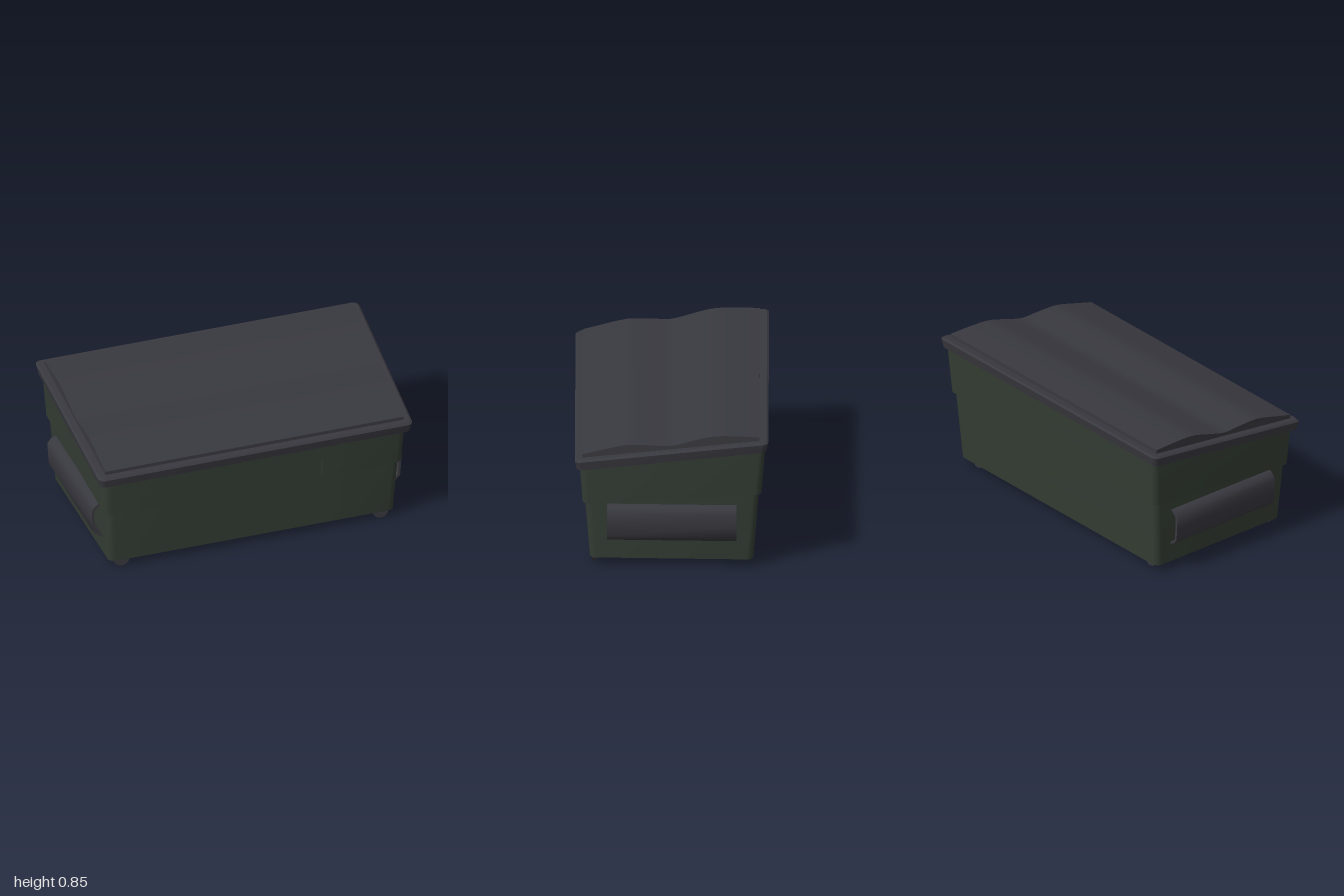
import * as THREE from 'three';
import { toCreasedNormals } from 'three/addons/utils/BufferGeometryUtils.js';

const green = new THREE.MeshStandardMaterial({ color: 0x343d34, side: THREE.DoubleSide });
green.name = 'dark green paint';
const grey = new THREE.MeshStandardMaterial({ color: 0x38383f, side: THREE.DoubleSide });
grey.name = 'charcoal plastic';

const TAPER = 0.03; // the sides spread a little towards the back
const NOTCH = 0.42; // half width of the raised front panel

// Columns of a rounded rectangle, going right around from +x through the front.
function makeColumns() {
  const columns = [];
  const corner = (sx, sz, start) => {
    for (let i = 0; i <= 4; i++) {
      const a = start + (i / 4) * Math.PI / 2;
      columns.push({ sx, sz, cos: Math.cos(a), sin: Math.sin(a) });
    }
  };
  corner(1, 1, 0);
  for (const [x, high] of [[NOTCH, false], [NOTCH, true], [-NOTCH, true], [-NOTCH, false]]) {
    columns.push({ x, high, sz: 1, sin: 1 });
  }
  corner(-1, 1, Math.PI / 2);
  corner(-1, -1, Math.PI);
  corner(1, -1, Math.PI * 1.5);
  return columns;
}
const columns = makeColumns();

// One point of a rounded rectangle: hx is the half width at the back, hz the half depth.
function outline(c, hx, hz, r, y) {
  const z = c.sz * (hz - r) + r * c.sin;
  const half = hx - TAPER * (z + hz) / (2 * hz);
  const x = c.x !== undefined ? c.x : c.sx * (half - r) + r * c.cos;
  return [x, y, z];
}

// Skin between successive rings of points.
function loft(rings) {
  const n = columns.length;
  const index = [];
  for (let i = 0; i < rings.length - 1; i++) {
    for (let k = 0; k < n; k++) {
      const a = i * n + k, b = i * n + (k + 1) % n;
      index.push(a, a + n, b, b, a + n, b + n);
    }
  }
  const g = new THREE.BufferGeometry();
  g.setAttribute('position', new THREE.Float32BufferAttribute(rings.flat(2), 3));
  g.setIndex(index);
  return toCreasedNormals(g, 0.5);
}

const rimTop = (z) => 0.69 + (0.57 - z) * 0.117;

// Open-bottomed body with a stepped seam that rises around the front panel.
function bodyGeometry() {
  const wall = (c, y, step) =>
    outline(c, 0.91 + 0.06 * (y - 0.05) + step, 0.48 + 0.075 * (y - 0.05) + step, 0.04, y);
  const seam = (c) => (c.high ? 0.535 : 0.403 + (0.505 - c.sz * 0.505) * 0.07);
  return loft([
    columns.map((c) => wall(c, 0.05, 0)),
    columns.map((c) => wall(c, seam(c), 0)),
    columns.map((c) => wall(c, seam(c) + 0.006, 0.015)),
    columns.map((c) => wall(c, rimTop(c.sz * 0.545) - 0.03, 0.015)),
  ]);
}

// Sloping lid rim with a chamfered top edge.
function rimGeometry() {
  const ring = (inset, rise) => columns.map((c) => {
    const p = outline(c, 1 - inset, 0.568 - inset, 0.035, 0);
    p[1] = rimTop(p[2]) + rise;
    return p;
  });
  const inner = ring(0.07, -0.04);
  return loft([inner, ring(0.01, -0.053), ring(0, 0), ring(0.012, 0.01), ring(0.07, 0.01), inner]);
}

// Lid panel with two soft waves, widening towards the back.
function panelGeometry() {
  const wave = new THREE.SplineCurve([
    [0.525, 0.727], [0.4, 0.759], [0.31, 0.782], [0.24, 0.792], [0.12, 0.79], [0.01, 0.787],
    [-0.1, 0.815], [-0.2, 0.843], [-0.28, 0.854], [-0.4, 0.854], [-0.515, 0.85],
  ].map(([z, y]) => new THREE.Vector2(z, y)));
  const shape = new THREE.Shape([
    new THREE.Vector2(-0.515, rimTop(-0.515) - 0.015),
    new THREE.Vector2(0.525, rimTop(0.525) - 0.015),
    ...wave.getPoints(40),
  ]);
  const g = new THREE.ExtrudeGeometry(shape, { depth: 1, bevelEnabled: false });
  g.translate(0, 0, -0.5).rotateY(-Math.PI / 2);
  const p = g.attributes.position;
  for (let i = 0; i < p.count; i++) {
    p.setX(i, p.getX(i) * 2 * (0.937 - TAPER * p.getZ(i)));
  }
  return toCreasedNormals(g, 0.5);
}

// Open-ended lifting sleeve: a thin bent channel that follows the slanted side.
function sleeveGeometry(side) {
  const outer = [[0.89, 0.405], [0.925, 0.405], [0.95, 0.388], [0.968, 0.362],
    [0.966, 0.29], [0.96, 0.215], [0.935, 0.187], [0.89, 0.162]];
  const inner = [[0.89, 0.178], [0.925, 0.199], [0.945, 0.221], [0.95, 0.29],
    [0.953, 0.357], [0.94, 0.376], [0.921, 0.389], [0.89, 0.389]];
  const shape = new THREE.Shape([...outer, ...inner].map(([x, y]) => new THREE.Vector2(x * side, y)));
  const g = new THREE.ExtrudeGeometry(shape, { depth: 0.76, bevelEnabled: false });
  g.translate(0, 0, -0.38);
  const p = g.attributes.position;
  for (let i = 0; i < p.count; i++) p.setX(i, p.getX(i) - side * TAPER * p.getZ(i));
  return toCreasedNormals(g, 0.75);
}

export function createModel() {
  const model = new THREE.Group();
  model.name = 'wasteContainer';
  const add = (name, geometry, material, parent = model) => {
    const mesh = new THREE.Mesh(geometry, material);
    mesh.name = name;
    parent.add(mesh);
    return mesh;
  };

  add('body', bodyGeometry(), green);

  const lid = new THREE.Group();
  lid.name = 'lid';
  model.add(lid);
  add('lidRim', rimGeometry(), grey, lid);
  add('lidPanel', panelGeometry(), grey, lid);

  // Wheels and sleeves on both sides
  const wheel = new THREE.CylinderGeometry(0.048, 0.048, 0.028, 12).rotateX(Math.PI / 2);
  for (const side of [1, -1]) {
    const label = side > 0 ? 'left' : 'right';
    add(label + 'Sleeve', sleeveGeometry(side), grey);
    add(label + 'FrontWheel', wheel, grey).position.set(side * 0.8, 0.048, 0.454);
    add(label + 'BackWheel', wheel, grey).position.set(side * 0.8, 0.048, -0.423);
  }
  return model;
}
